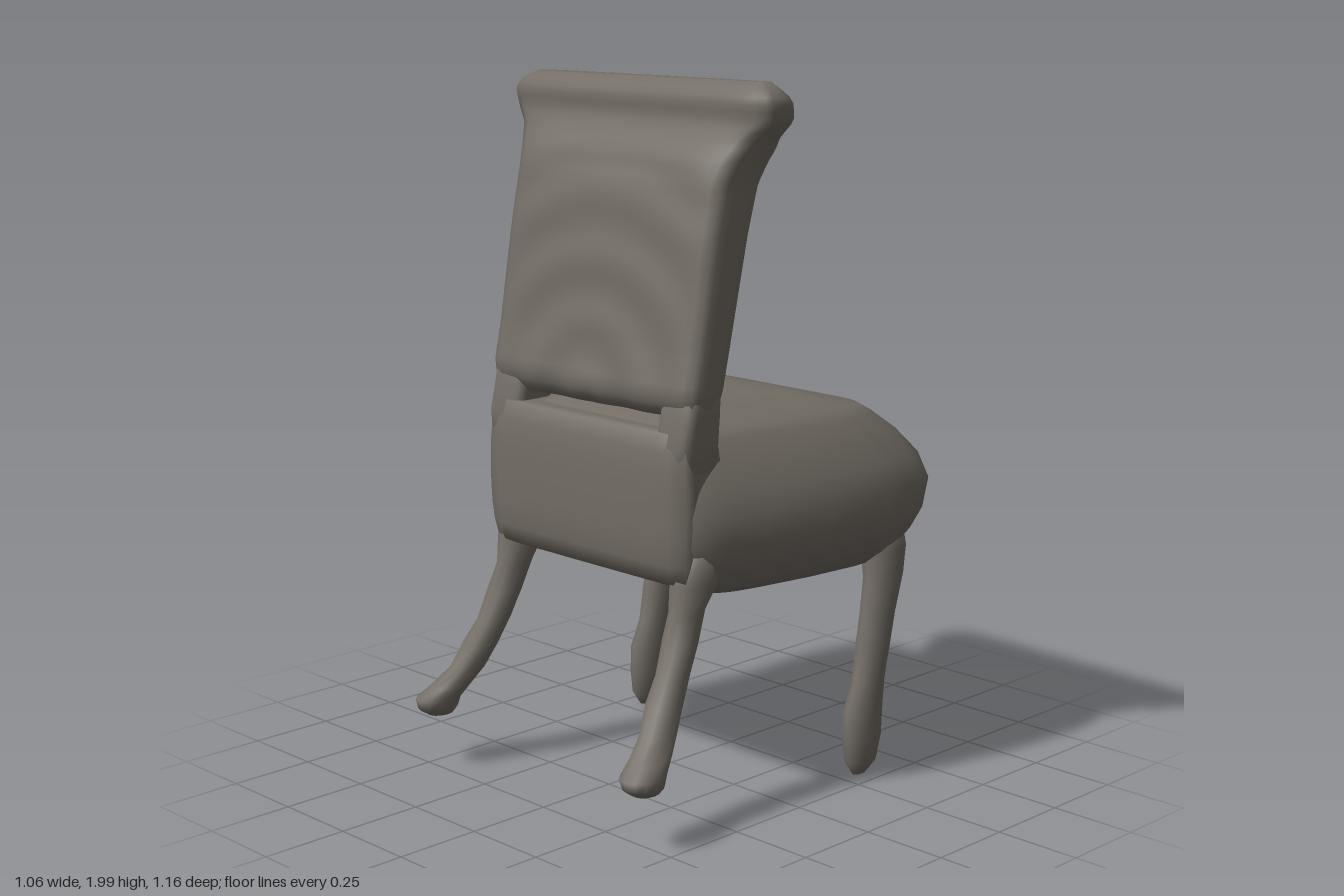
import * as THREE from 'three';
import { mergeVertices } from 'three/addons/utils/BufferGeometryUtils.js';

const upholstery = new THREE.MeshStandardMaterial({ color: 0x736d65 });
upholstery.name = 'taupe';

// Linear lookup in rows [y, a, b, ...]
function sample(rows, y) {
  let i = 0;
  while (i < rows.length - 2 && y > rows[i + 1][0]) i++;
  const t = THREE.MathUtils.clamp((y - rows[i][0]) / (rows[i + 1][0] - rows[i][0]), 0, 1);
  return rows[i].map((v, k) => v + (rows[i + 1][k] - v) * t);
}

// Skin horizontal superellipse rings [y, cx, cz, rx, rz], bottom to top
function loft(levels, power, sides, warp = (x, y, z) => [x, y, z]) {
  const first = levels[0], last = levels[levels.length - 1];
  const rings = [[...first.slice(0, 3), 0, 0], ...levels, [...last.slice(0, 3), 0, 0]];
  const pos = [], index = [];
  const bend = c => Math.sign(c) * Math.abs(c) ** (2 / power);
  rings.forEach(([y, cx, cz, rx, rz], i) => {
    for (let j = 0; j < sides; j++) {
      const a = (j / sides) * Math.PI * 2;
      pos.push(...warp(cx + rx * bend(Math.cos(a)), y, cz + rz * bend(Math.sin(a))));
      if (i === rings.length - 1) continue;
      const p = i * sides + j, q = i * sides + (j + 1) % sides;
      index.push(p, p + sides, q, q, p + sides, q + sides);
    }
  });
  const g = new THREE.BufferGeometry();
  g.setAttribute('position', new THREE.Float32BufferAttribute(pos, 3));
  g.setIndex(index);
  g.computeVertexNormals();
  return g;
}

// Subdivided box whose points (-1..1 on each axis) are moved by a rule
function moulded(nx, ny, nz, rule) {
  let g = new THREE.BoxGeometry(2, 2, 2, nx, ny, nz);
  g.deleteAttribute('normal');
  g.deleteAttribute('uv');
  g = mergeVertices(g);
  const p = g.attributes.position;
  for (let i = 0; i < p.count; i++) p.setXYZ(i, ...rule(p.getX(i), p.getY(i), p.getZ(i)));
  g.computeVertexNormals();
  return g;
}

export function createModel() {
  const chair = new THREE.Group();
  chair.name = 'chair';
  const add = (name, geometry) => {
    const m = new THREE.Mesh(geometry, upholstery);
    m.name = name;
    chair.add(m);
  };

  // Padded seat: half width, far edge and backrest edge at each height
  const seat = [
    [0.625, 0.42, -0.48, 0.2], [0.66, 0.46, -0.505, 0.27], [0.72, 0.505, -0.53, 0.31],
    [0.78, 0.53, -0.555, 0.33], [0.86, 0.53, -0.58, 0.335], [0.93, 0.5, -0.565, 0.335],
    [1.0, 0.455, -0.51, 0.325], [1.05, 0.41, -0.455, 0.315], [1.075, 0.38, -0.42, 0.29],
    [1.09, 0.31, -0.33, 0.25], [1.112, 0.26, -0.27, 0.2], [1.12, 0.18, -0.18, 0.14],
  ].map(([y, w, z0, z1]) => [y, 0, (z0 + z1) / 2, w, (z1 - z0) / 2]);
  add('seat', loft(seat, 8.5, 128, (x, y, z) => {
    // sides draw in toward the backrest, a little sooner on the model's left
    const t = THREE.MathUtils.clamp(x > 0 ? (z + 0.3) / 0.63 : z / 0.34, 0, 1);
    return [x * (1 - 0.26 * t ** (x > 0 ? 1.4 : 2)), y, z];
  }));

  // Lower rail behind the seat
  add('backRail', moulded(16, 8, 4, (u, v, w) => [
    -0.02 + 0.395 * u * (1 - 0.04 * v * v),
    0.88 + 0.205 * v,
    0.25 + 0.09 * w * (1 - 0.22 * v ** 4) * (1 - 0.25 * u ** 8),
  ]));

  // Leaning back panel flaring into a rolled top: half width, outer z, inner z
  const back = [
    [1.12, 0.4, 0.28, 0.185], [1.15, 0.402, 0.305, 0.17], [1.19, 0.405, 0.312, 0.155], [1.3, 0.405, 0.288, 0.13],
    [1.45, 0.405, 0.265, 0.095], [1.6, 0.405, 0.24, 0.06], [1.73, 0.406, 0.213, 0.022],
    [1.79, 0.42, 0.19, -0.005], [1.85, 0.45, 0.155, -0.03], [1.895, 0.495, 0.135, -0.052],
    [1.95, 0.505, 0.138, -0.035], [1.98, 0.475, 0.12, -0.005], [1.995, 0.45, 0.09, 0.025],
  ];
  add('backPanel', moulded(32, 48, 6, (u, v, w) => {
    const y = 1.5575 + 0.4375 * v;
    const [, half, outer, inner] = sample(back, y);
    const x = -0.025 + half * u * (1 - 0.03 * w * w);
    const fade = (1 - u ** 6) * THREE.MathUtils.smoothstep(1.85 - y, 0, 0.1);
    const arcs = 0.004 * Math.sin(36 * Math.hypot(x + 0.03, y - 1.12));
    const tufts = 0.008 * Math.sin(42 * y + 2.2 * Math.abs(Math.sin(11 * x)));
    // the roll is fuller toward the model's right
    const slim = w < 0 ? 0.015 * (u + 1) * THREE.MathUtils.smoothstep(y, 1.8, 1.9) : 0;
    const z = (outer + inner) / 2 + (outer - inner) / 2 * w * (1 - 0.25 * u ** 10);
    return [x, y + 0.005 * u * v ** 6, z + fade * w * (w > 0 ? arcs : tufts) - slim * w];
  }));

  // Short posts on either side of the slot under the panel
  for (const [name, x] of [['rightBackPost', -0.36], ['leftBackPost', 0.31]]) {
    add(name, loft([
      [0.95, x, 0.25, 0.06, 0.07], [1.05, x, 0.25, 0.066, 0.074],
      [1.13, x, 0.238, 0.067, 0.066], [1.24, x, 0.225, 0.062, 0.06],
    ], 4, 20));
  }

  // Knobbly legs below the open edge of the seat
  for (const [name, s] of [['rightFrontLeg', -1], ['leftFrontLeg', 1]]) {
    add(name, loft([
      [0.01, s * 0.438, -0.325, 0.012, 0.025], [0.05, s * 0.438, -0.33, 0.038, 0.055],
      [0.12, s * 0.437, -0.335, 0.045, 0.068], [0.2, s * 0.437, -0.338, 0.046, 0.068],
      [0.28, s * 0.436, -0.36, 0.04, 0.056], [0.38, s * 0.435, -0.378, 0.046, 0.056],
      [0.48, s * 0.433, -0.4, 0.046, 0.06], [0.58, s * 0.43, -0.425, 0.05, 0.068],
      [0.66, s * 0.42, -0.435, 0.06, 0.075], [0.74, s * 0.41, -0.43, 0.06, 0.07],
    ], 2, 12));
  }

  // Raked legs under the backrest; each foot splays outward
  const raked = [
    [0.165, 1, 0.505, 0.03, 0.04], [0.185, 1, 0.515, 0.05, 0.062], [0.215, 0.97, 0.515, 0.058, 0.07],
    [0.25, 0.8, 0.475, 0.05, 0.065], [0.3, 0.55, 0.425, 0.045, 0.058], [0.37, 0.35, 0.385, 0.05, 0.055],
    [0.44, 0.2, 0.34, 0.044, 0.052], [0.52, 0.1, 0.305, 0.05, 0.052], [0.6, 0, 0.27, 0.044, 0.056],
    [0.67, 0, 0.245, 0.062, 0.07], [0.76, 0, 0.23, 0.065, 0.07],
  ];
  for (const [name, top, foot, dz] of [['rightBackLeg', -0.372, -0.47, -0.03], ['leftBackLeg', 0.33, 0.415, 0]]) {
    add(name, loft(raked.map(([y, t, z, rx, rz]) =>
      [y, top + (foot - top) * t, z + dz * t, rx, rz]), 2, 12));
  }
  return chair;
}
